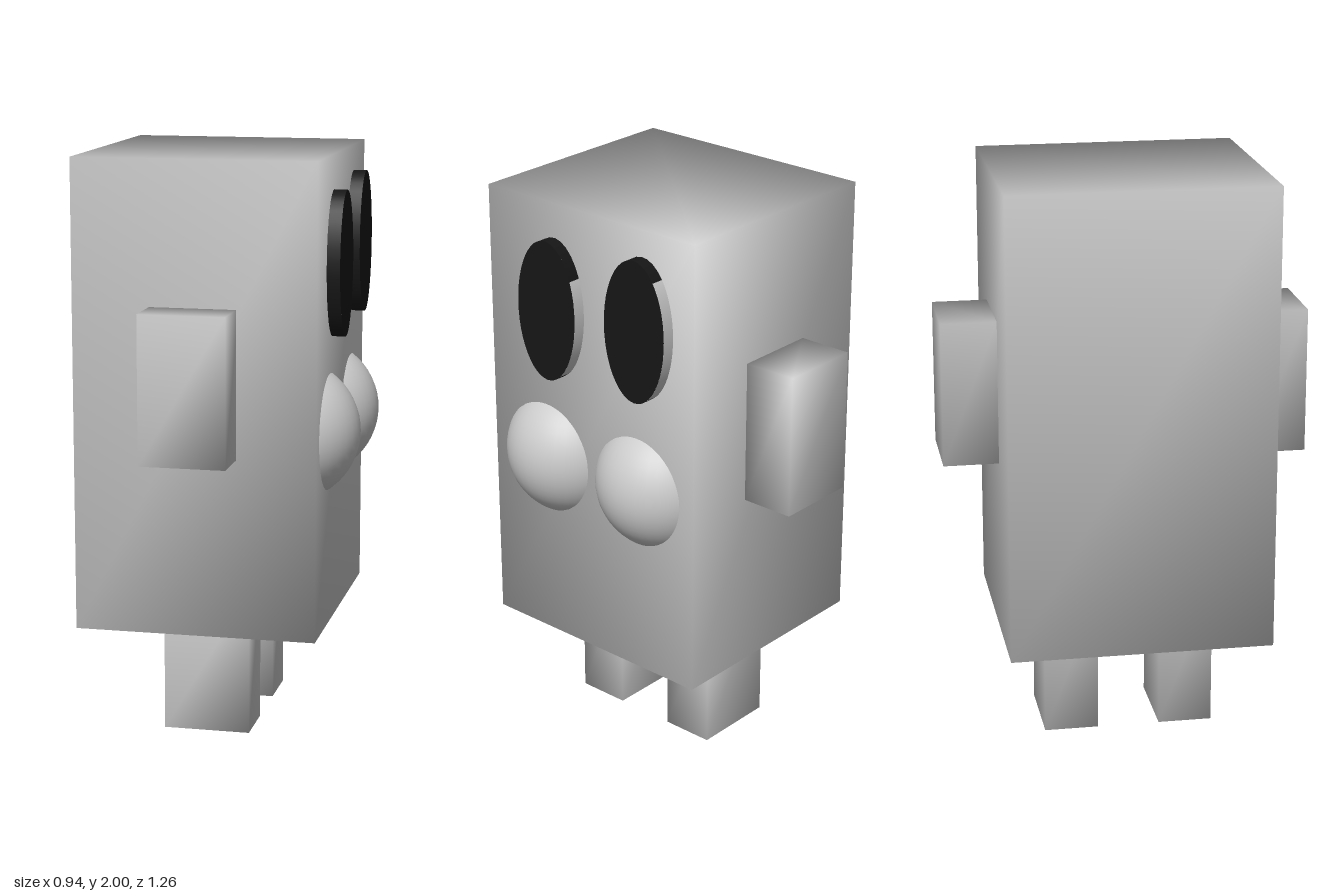
import * as THREE from 'three';
import { mergeVertices } from 'three/addons/utils/BufferGeometryUtils.js';

const grey = new THREE.MeshStandardMaterial({ color: 0xcccccc });
const dark = new THREE.MeshStandardMaterial({ color: 0x161616 });

// Share corner vertices so shading runs smoothly across the edges
function weld(geometry) {
  geometry.deleteAttribute('normal');
  geometry.deleteAttribute('uv');
  const welded = mergeVertices(geometry);
  welded.computeVertexNormals();
  return welded;
}

// Smooth-shaded block given by its two opposite corners
function block(name, [x0, y0, z0], [x1, y1, z1]) {
  const g = new THREE.BoxGeometry(x1 - x0, y1 - y0, z1 - z0);
  const mesh = new THREE.Mesh(weld(g), grey);
  mesh.name = name;
  mesh.position.set((x0 + x1) / 2, (y0 + y1) / 2, (z0 + z1) / 2);
  return mesh;
}

// Oval disc facing +x: dark face and rim, with a pale stretch of rim at the back
function eye(name, y, z, up, down) {
  const group = new THREE.Group();
  group.name = name;
  const depth = 0.1;
  const add = (part, geometry, material) => {
    const mesh = new THREE.Mesh(geometry, material);
    mesh.name = part;
    group.add(mesh);
  };
  const rim = (start, length) =>
    new THREE.CylinderGeometry(1, 1, depth, 24, 1, true, start, length).rotateZ(-Math.PI / 2);
  add('eyeFace', new THREE.CircleGeometry(1, 48).rotateY(Math.PI / 2).translate(depth / 2, 0, 0), dark);
  add('paleRim', rim(Math.PI - down, up + down), grey);
  add('darkRim', rim(Math.PI + up, 2 * Math.PI - up - down), dark);
  group.scale.set(1, 0.248, 0.13);
  group.position.set(0.405 - depth / 2, y, z);
  return group;
}

// Shallow dome swelling out of the +x face
function cheek(name, x, z) {
  const mesh = new THREE.Mesh(new THREE.SphereGeometry(0.243, 40, 28), grey);
  mesh.name = name;
  mesh.scale.z = 0.96;
  mesh.position.set(x, 1.065, z);
  return mesh;
}

export function createModel() {
  const model = new THREE.Group();
  model.name = 'blockFigure';

  model.add(block('body', [-0.47, 0.39, -0.44], [0.36, 2, 0.47]));

  // Arms on the two z sides
  model.add(block('frontArm', [-0.205, 1.005, 0.44], [0.09, 1.51, 0.63]));
  model.add(block('backArm', [-0.205, 1.015, -0.63], [0.09, 1.515, -0.44]));

  // Legs reach a little way into the body
  model.add(block('frontLeg', [-0.2, 0, 0.12], [0.1, 0.505, 0.31]));
  model.add(block('backLeg', [-0.2, 0, -0.29], [0.1, 0.505, -0.1]));

  // Face on the +x side
  model.add(eye('frontEye', 1.633, 0.17, 0.56, 1.1));
  model.add(eye('backEye', 1.662, -0.222, 0.88, 1.1));
  model.add(cheek('frontCheek', 0.222, 0.224));
  model.add(cheek('backCheek', 0.217, -0.192));

  return model;
}
